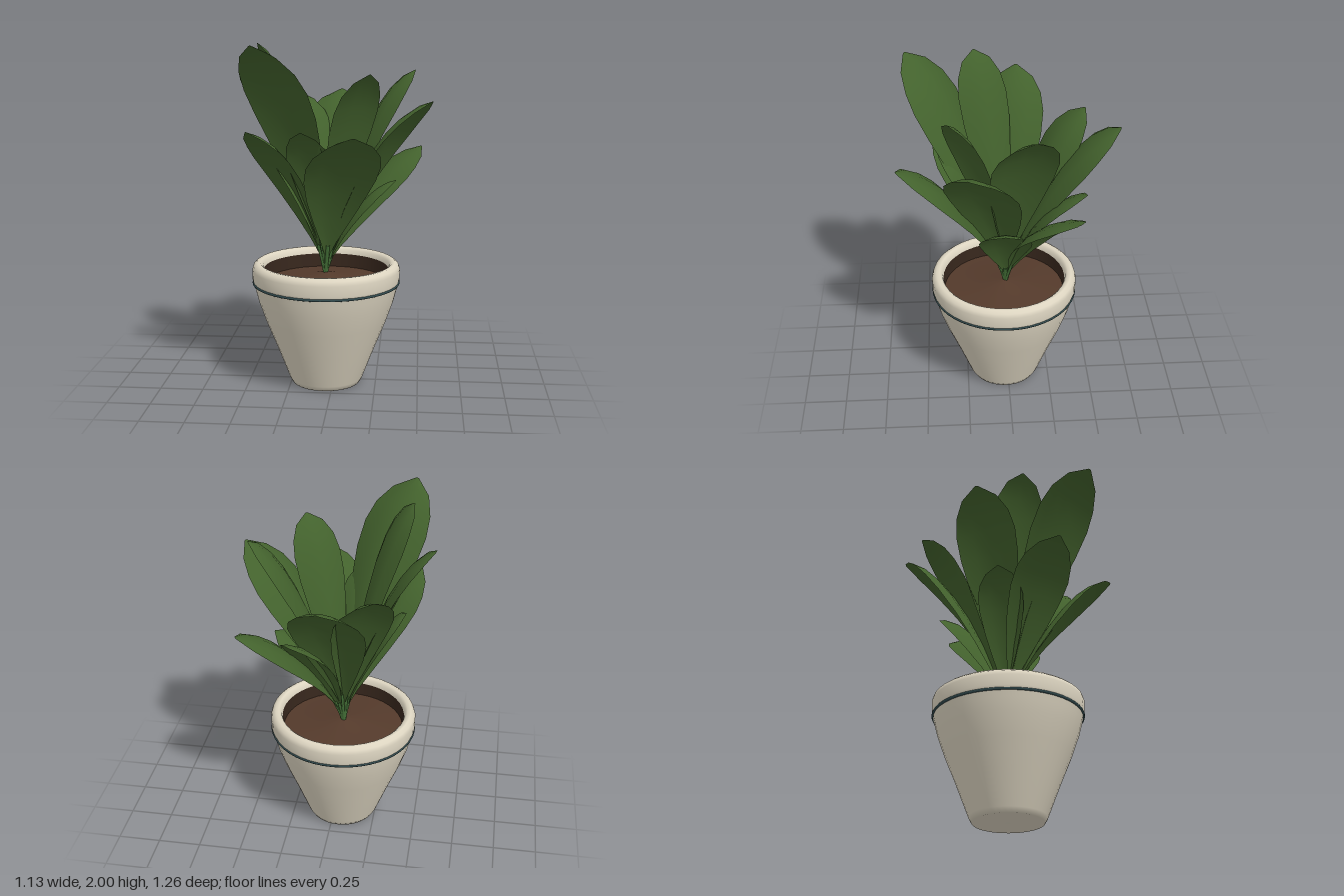
import * as THREE from 'three';

const mat = (name, color, side = THREE.FrontSide) => {
  const m = new THREE.MeshStandardMaterial({ color, side });
  m.name = name;
  return m;
};

// Half-width of a leaf along its length: [position, share of full half-width]
const LEAF_PROFILE = [
  [0, 0.04], [0.12, 0.08], [0.2, 0.24], [0.32, 0.52], [0.46, 0.8], [0.59, 0.97],
  [0.7, 1], [0.8, 0.88], [0.91, 0.58], [1, 0.05],
];

// Leaf tips (x, y, z) and half-widths
const LEAVES = [
  [-0.39, 2.0, 0.56, 0.22],
  [-0.41, 2.0, 0.17, 0.15],
  [0.22, 1.84, 0.33, 0.15],
  [0.46, 1.84, -0.12, 0.19],
  [-0.56, 1.84, -0.08, 0.18],
  [0.56, 1.69, 0.23, 0.21],
  [0.0, 1.69, -0.63, 0.21],
  [-0.27, 1.69, -0.46, 0.17],
  [0.15, 1.53, 0.62, 0.21],
  [-0.45, 1.53, 0.38, 0.18],
  [-0.15, 1.53, 0.4, 0.13],
  [0.5, 1.37, -0.35, 0.19],
  [0.2, 1.38, -0.43, 0.15],
  [-0.4, 1.4, 0.02, 0.13],
  [0.36, 1.22, 0.03, 0.15],
];

// Ribbon swept along a curve, its edges drooping a little
function leafGeometry(curve, side, halfWidth) {
  const across = 4, pos = [], idx = [];
  LEAF_PROFILE.forEach(([t, share], i) => {
    const p = curve.getPoint(t);
    const up = curve.getTangent(t).cross(side).normalize();
    if (up.y < 0) up.negate();
    for (let j = 0; j <= across; j++) {
      const u = (j / across) * 2 - 1;
      const v = p.clone()
        .addScaledVector(side, u * halfWidth * share)
        .addScaledVector(up, -u * u * 0.28 * halfWidth * share);
      pos.push(v.x, v.y, v.z);
      if (i > 0 && j > 0) {
        const b = i * (across + 1) + j, a = b - across - 1;
        idx.push(a - 1, b - 1, a, a, b - 1, b);
      }
    }
  });
  const g = new THREE.BufferGeometry();
  g.setAttribute('position', new THREE.Float32BufferAttribute(pos, 3));
  g.setIndex(idx);
  g.computeVertexNormals();
  return g;
}

export function createModel() {
  const ceramic = mat('cream ceramic', 0xded6c2);
  const bandMat = mat('dark teal band', 0x31494c);
  const soilMat = mat('brown soil', 0x543a2b);
  const wallMat = mat('dark soil edge', 0x36261c, THREE.DoubleSide);
  const leafMat = mat('leaf green', 0x43622d, THREE.DoubleSide);
  const stemMat = mat('stem green', 0x47753a);

  const model = new THREE.Group();
  model.name = 'pottedPlant';
  const plant = new THREE.Group();
  plant.name = 'plant';
  const pot = new THREE.Group();
  pot.name = 'pot';
  pot.position.set(-0.045, 0, 0.02);
  model.add(pot, plant);

  const add = (parent, name, geometry, material, y = 0) => {
    const m = new THREE.Mesh(geometry, material);
    m.name = name;
    m.position.y = y;
    parent.add(m);
  };
  const lathe = (pts) => new THREE.LatheGeometry(pts.map(([r, y]) => new THREE.Vector2(r, y)), 40);

  // Tapered body
  add(pot, 'potBody', lathe([
    [0, 0], [0.2, 0], [0.217, 0.03], [0.29, 0.22], [0.355, 0.38], [0.397, 0.5], [0.415, 0.57], [0.425, 0.61],
  ]), ceramic);
  // Rounded rim, turning down on the inside
  add(pot, 'potRim', lathe([
    [0.425, 0.61], [0.432, 0.63], [0.433, 0.69], [0.425, 0.715], [0.405, 0.73],
    [0.385, 0.728], [0.37, 0.715], [0.364, 0.69],
  ]), ceramic);
  add(pot, 'rimBand', new THREE.TorusGeometry(0.425, 0.008, 8, 48).rotateX(Math.PI / 2), bandMat, 0.61);
  add(pot, 'innerWall', lathe([[0.357, 0.6], [0.364, 0.69]]), wallMat);
  // Gently mounded soil
  add(pot, 'soil', lathe([[0.359, 0.61], [0.2, 0.625], [0.08, 0.65], [0, 0.665]]), soilMat);

  // Leaves with their short stems, all rising from one point
  const base = new THREE.Vector3(-0.05, 0.65, 0.01);
  for (const [x, y, z, halfWidth] of LEAVES) {
    const tip = new THREE.Vector3(x, y, z);
    const out = tip.clone().sub(base).setY(0);
    const along = (r, h) => base.clone().addScaledVector(out, r).setY(base.y + (y - base.y) * h);
    const curve = new THREE.CubicBezierCurve3(base, along(0.14, 0.4), along(0.56, 0.95), tip);
    const side = new THREE.Vector3(out.z, 0, -out.x).normalize();
    add(plant, 'leaf', leafGeometry(curve, side, halfWidth), leafMat);

    const stemPath = new THREE.CatmullRomCurve3([0, 0.08, 0.17].map((t) => curve.getPoint(t)));
    add(plant, 'stem', new THREE.TubeGeometry(stemPath, 5, 0.012, 6), stemMat);
  }
  return model;
}
